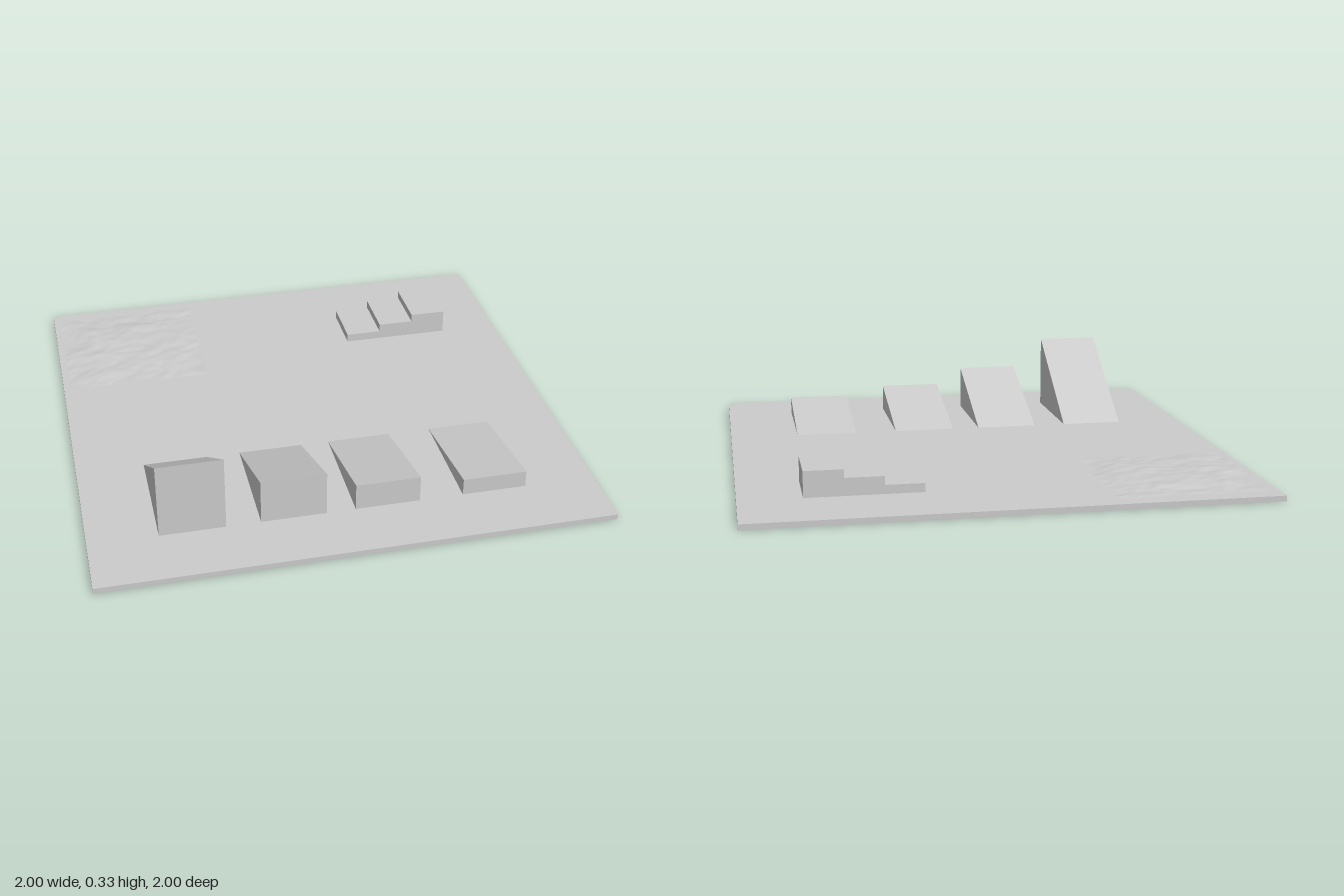
import * as THREE from 'three';

const GROUND = 0.022; // top of the base slab

export function createModel() {
  const model = new THREE.Group();
  const material = new THREE.MeshStandardMaterial({ color: 0xcccccc });

  const add = (name, geometry, x, y, z, parent = model) => {
    const mesh = new THREE.Mesh(geometry, material);
    mesh.name = name;
    mesh.position.set(x, y, z);
    parent.add(mesh);
    return mesh;
  };

  // Square base slab
  add('ground', new THREE.BoxGeometry(2, GROUND, 2), 0, GROUND / 2, 0);

  // Wedge ramps of falling steepness, tall face to the front
  const ramps = new THREE.Group();
  ramps.name = 'ramps';
  model.add(ramps);
  const back = 0.285, front = 0.75, width = 0.256;
  const rampSpecs = [[-0.602, 0.332], [-0.212, 0.205], [0.158, 0.132], [0.588, 0.091]];
  rampSpecs.forEach(([x, top], i) => {
    const profile = new THREE.Shape();
    profile.moveTo(-front, GROUND - 0.01);
    profile.lineTo(-back, GROUND - 0.01);
    profile.lineTo(-back, GROUND);
    profile.lineTo(-front, top);
    profile.closePath();
    const wedge = new THREE.ExtrudeGeometry(profile, { depth: width, bevelEnabled: false });
    wedge.translate(0, 0, -width / 2);
    wedge.rotateY(Math.PI / 2);
    add(`ramp${i + 1}`, wedge, x, 0, 0, ramps);
  });

  // Three steps rising towards +x
  const steps = new THREE.Group();
  steps.name = 'steps';
  model.add(steps);
  [0.057, 0.091, 0.124].forEach((top, i) => {
    const h = top - GROUND;
    add(`step${i + 1}`, new THREE.BoxGeometry(0.152, h, 0.232),
      0.379 + i * 0.151, GROUND + h / 2, -0.596, steps);
  });

  // Patch of rough terrain: low uneven mound fading into the slab
  const hash = (i, j) => {
    const s = Math.sin(i * 127.1 + j * 311.7) * 43758.5453;
    return s - Math.floor(s);
  };
  const noise = (x, y) => {
    const i = Math.floor(x), j = Math.floor(y);
    const u = THREE.MathUtils.smoothstep(x - i, 0, 1);
    const v = THREE.MathUtils.smoothstep(y - j, 0, 1);
    const { lerp } = THREE.MathUtils;
    return lerp(lerp(hash(i, j), hash(i + 1, j), u), lerp(hash(i, j + 1), hash(i + 1, j + 1), u), v);
  };
  const size = 0.6;
  const patch = new THREE.PlaneGeometry(size, size, 48, 48);
  patch.rotateX(-Math.PI / 2);
  const pos = patch.attributes.position;
  for (let k = 0; k < pos.count; k++) {
    const x = pos.getX(k), z = pos.getZ(k);
    const edge = size / 2 - Math.max(Math.abs(x), Math.abs(z));
    const fade = THREE.MathUtils.smoothstep(edge, 0, 0.14);
    const bumps = 0.007 * noise(x * 12 + 50, z * 18 + 50) + 0.004 * noise(x * 30 + 90, z * 45 + 90);
    pos.setY(k, -0.004 + fade * 0.008 + bumps);
  }
  patch.computeVertexNormals();
  add('roughTerrain', patch, -0.67, GROUND, -0.64);

  return model;
}
